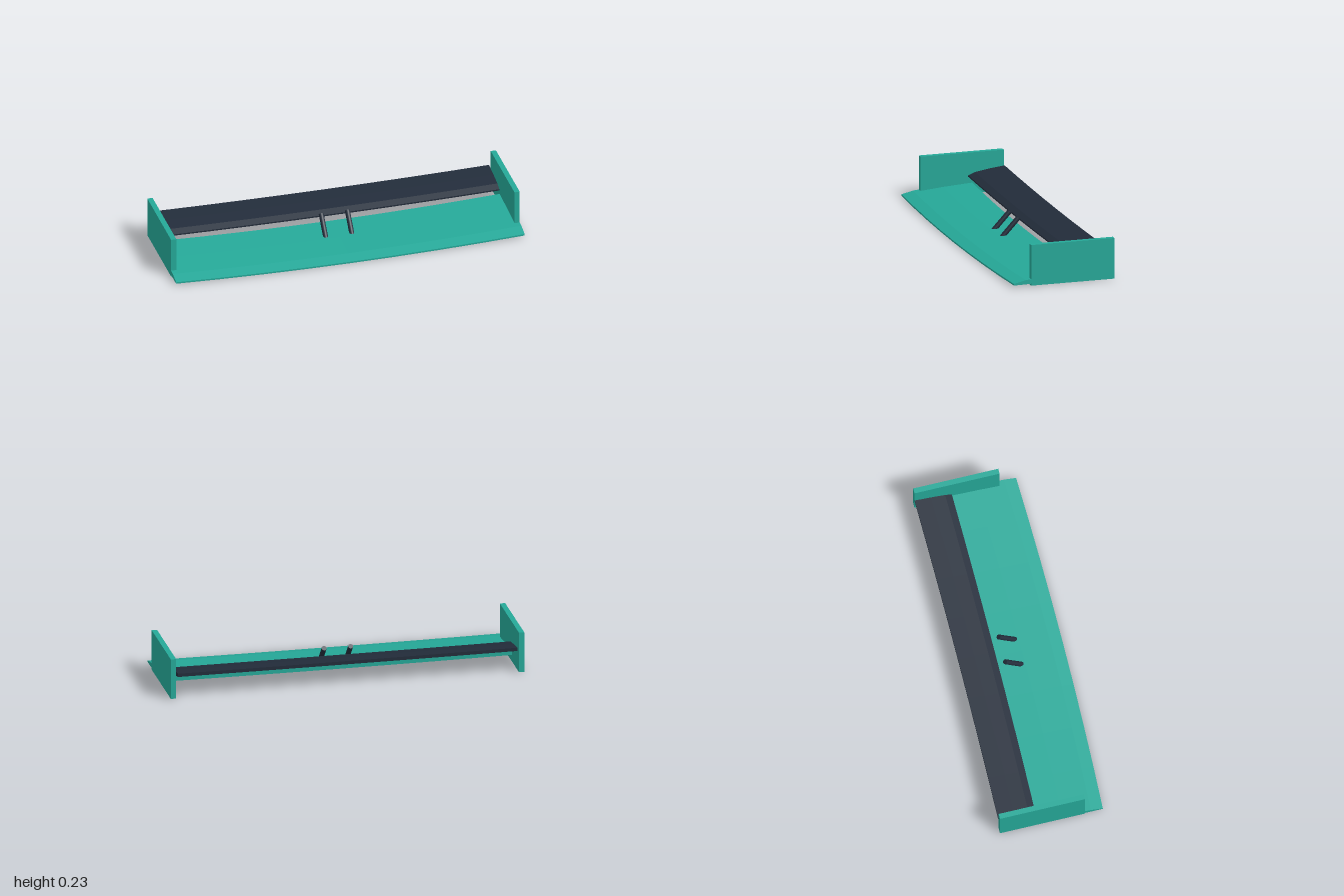
import * as THREE from 'three';

// Bowed wing: profile stations are [z, bottom y, top y] at the tip, front to rear.
// Towards the middle the section moves forward and down.
function wingGeometry(profile, halfSpan, bowZ, bowY, sections = 8) {
  const m = profile.length, n = 2 * m;
  const pos = [], idx = [];
  for (let i = 0; i <= sections; i++) {
    const t = -1 + (2 * i) / sections;
    const bow = 1 - t * t;
    const point = (z, y) => pos.push(t * halfSpan, y - bowY * bow, z + bowZ * bow);
    profile.forEach(([z, , top]) => point(z, top));
    [...profile].reverse().forEach(([z, bottom]) => point(z, bottom));
  }
  // Skin
  for (let i = 0; i < sections; i++) {
    for (let j = 0; j < n; j++) {
      const k = (j + 1) % n;
      const a = i * n + j, b = a + n, c = (i + 1) * n + k, d = i * n + k;
      idx.push(a, b, c, a, c, d);
    }
  }
  // End caps
  const last = sections * n;
  for (let k = 0; k < m - 1; k++) {
    const a = k, b = n - 1 - k, c = n - 2 - k, d = k + 1;
    idx.push(last + a, last + b, last + c, last + a, last + c, last + d);
    idx.push(a, c, b, a, d, c);
  }
  const geometry = new THREE.BufferGeometry();
  geometry.setAttribute('position', new THREE.Float32BufferAttribute(pos, 3));
  geometry.setIndex(idx);
  const flat = geometry.toNonIndexed();
  flat.computeVertexNormals();
  return flat;
}

export function createModel() {
  const group = new THREE.Group();
  const teal = new THREE.MeshStandardMaterial({ color: 0x25a898 });
  teal.name = 'teal';
  const navy = new THREE.MeshStandardMaterial({ color: 0x222c3a });
  navy.name = 'darkNavy';

  const add = (name, geometry, material) => {
    const mesh = new THREE.Mesh(geometry, material);
    mesh.name = name;
    group.add(mesh);
    return mesh;
  };

  // Main plane
  add('mainPlane', wingGeometry([
    [0.283, 0.012, 0.021],
    [0.215, 0.013, 0.037],
    [0.05, 0.019, 0.052],
    [-0.12, 0.04, 0.063],
  ], 1, 0.02, 0.011), teal);

  // Upper flap
  add('flap', wingGeometry([
    [-0.092, 0.1, 0.108],
    [-0.13, 0.101, 0.124],
    [-0.21, 0.109, 0.137],
    [-0.303, 0.129, 0.148],
  ], 0.96, 0.009, 0.005), navy);

  for (const [side, s] of [['left', 1], ['right', -1]]) {
    // Endplate
    add(side + 'Endplate', new THREE.BoxGeometry(0.03, 0.232, 0.484), teal)
      .position.set(s * 0.985, 0.119, -0.06);

    // Mounting strut, leaning back
    const foot = new THREE.Vector3(s * 0.075, 0.012, 0.07);
    const head = new THREE.Vector3(s * 0.075, 0.136, -0.045);
    const dir = head.clone().sub(foot);
    const strut = add(side + 'Strut', new THREE.CylinderGeometry(0.014, 0.014, dir.length(), 16), navy);
    strut.position.copy(foot).add(head).multiplyScalar(0.5);
    strut.quaternion.setFromUnitVectors(new THREE.Vector3(0, 1, 0), dir.normalize());
  }
  return group;
}
